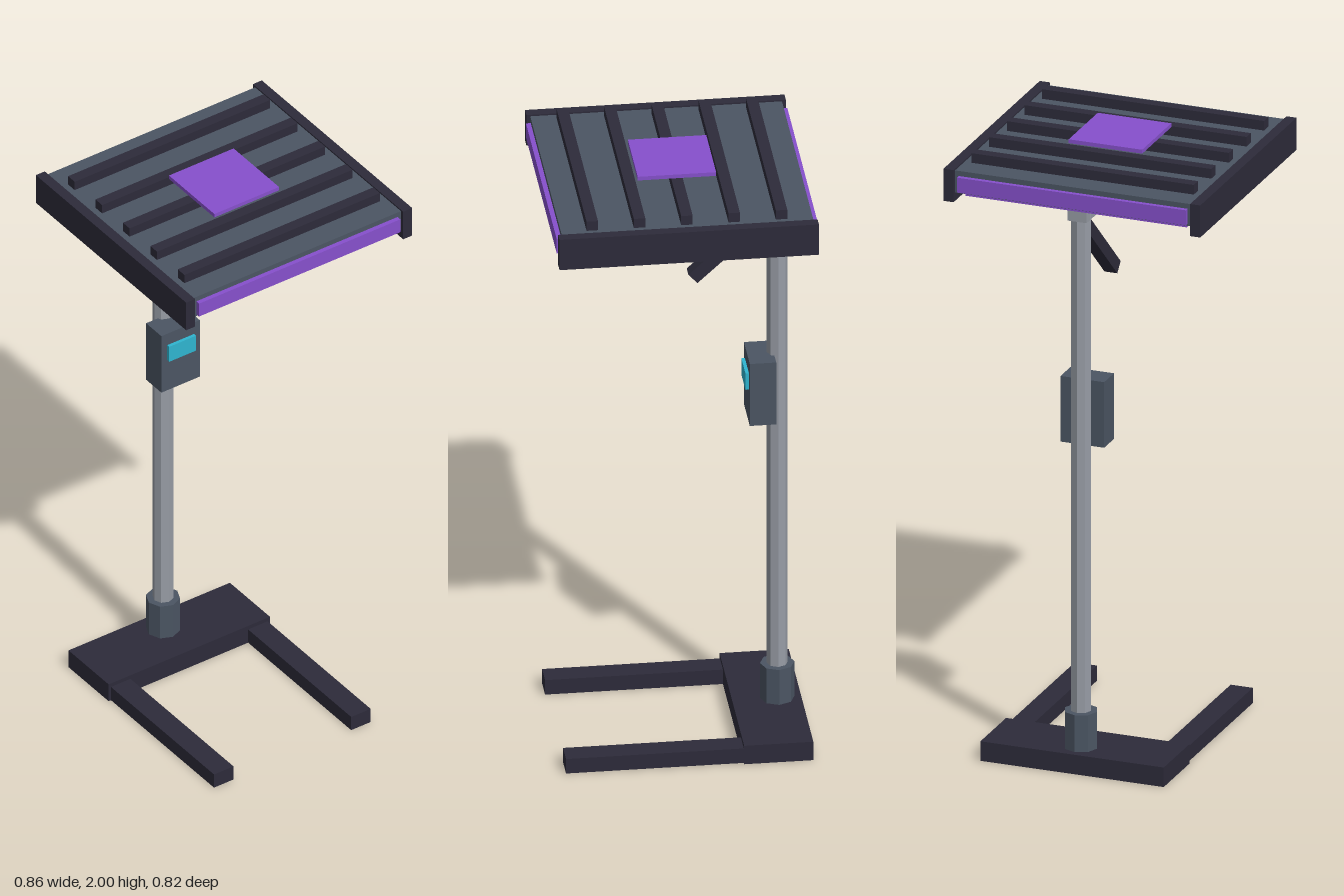
import * as THREE from 'three';

const material = (name, color) => {
  const m = new THREE.MeshStandardMaterial({ color });
  m.name = name;
  return m;
};

export function createModel() {
  const dark = material('dark charcoal', 0x2d2b3a);
  const slate = material('slate grey', 0x4b5563);
  const steel = material('steel grey', 0x979ca5);
  const purple = material('purple', 0x8650cc);
  const cyan = material('cyan', 0x2fb5d0);

  const model = new THREE.Group();
  model.name = 'overheadPanelStand';

  const add = (name, geometry, mat, x, y, z) => {
    const mesh = new THREE.Mesh(geometry, mat);
    mesh.name = name;
    mesh.position.set(x, y, z);
    model.add(mesh);
    return mesh;
  };
  // Box given by its limits on each axis
  const box = (name, mat, [x0, x1], [y0, y1], [z0, z1]) =>
    add(name, new THREE.BoxGeometry(x1 - x0, y1 - y0, z1 - z0), mat,
      (x0 + x1) / 2, (y0 + y1) / 2, (z0 + z1) / 2);
  // Upright faceted column
  const column = (name, mat, radius, y0, y1, z) => {
    const g = new THREE.CylinderGeometry(radius, radius, y1 - y0, 8).toNonIndexed();
    g.computeVertexNormals();
    return add(name, g, mat, 0, (y0 + y1) / 2, z);
  };

  // Base with two forward legs
  const poleZ = -0.33;
  box('base', dark, [-0.307, 0.307], [0, 0.065], [-0.405, -0.188]);
  for (const s of [-1, 1]) {
    const x = s * 0.261;
    box(s > 0 ? 'leftLeg' : 'rightLeg', dark, [x - 0.037, x + 0.037], [0, 0.051], [-0.2, 0.37]);
  }

  // Pole and its collar
  column('poleCollar', slate, 0.054, 0.06, 0.188, poleZ);
  column('pole', steel, 0.033, 0.06, 1.86, poleZ);

  // Control box with a display
  box('controlBox', slate, [-0.073, 0.073], [1.068, 1.287], [-0.318, -0.235]);
  box('display', cyan, [-0.051, 0.051], [1.185, 1.243], [-0.235, -0.224]);

  // Support arm and diagonal brace
  box('supportArm', steel, [-0.032, 0.032], [1.828, 1.882], [-0.363, 0.055]);
  const low = new THREE.Vector3(0, 1.572, -0.063);
  const high = new THREE.Vector3(0, 1.81, -0.322);
  const brace = add('brace', new THREE.BoxGeometry(0.043, 0.042, low.distanceTo(high)), dark, 0, 0, 0);
  brace.position.copy(low).lerp(high, 0.5);
  brace.lookAt(high);

  // Panel housing with light panel beneath
  box('housing', slate, [-0.4, 0.4], [1.881, 1.955], [-0.395, 0.395]);
  box('lightPanel', purple, [-0.37, 0.37], [1.865, 1.882], [-0.37, 0.37]);

  // Side rails and glowing end strips
  for (const s of [-1, 1]) {
    const x = s * 0.413;
    box(s > 0 ? 'leftRail' : 'rightRail', dark, [x - 0.017, x + 0.017], [1.853, 1.96], [-0.407, 0.407]);
    const z = s * 0.402;
    box(s > 0 ? 'frontStrip' : 'backStrip', purple, [-0.383, 0.383], [1.888, 1.938], [z - 0.008, z + 0.008]);
  }

  // Cooling ribs and top plate
  for (let i = -2; i <= 2; i++) {
    const z = i * 0.1485;
    box('rib' + (i + 3), dark, [-0.372, 0.372], [1.954, 1.987], [z - 0.018, z + 0.018]);
  }
  box('topPlate', purple, [-0.123, 0.123], [1.987, 2.0], [-0.123, 0.123]);

  return model;
}
